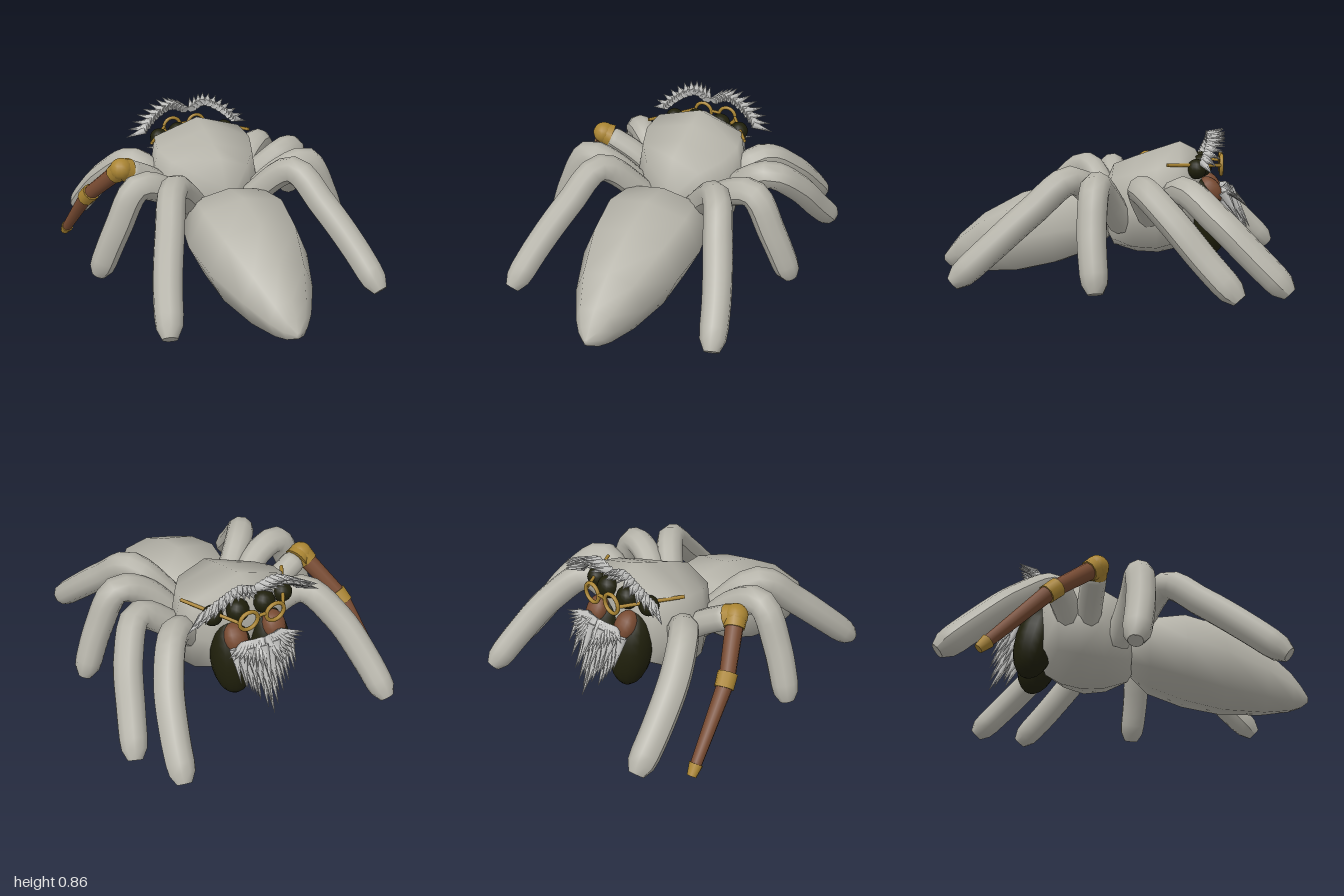
import * as THREE from 'three';

const mat = (name, color, side = THREE.FrontSide) => {
  const m = new THREE.MeshStandardMaterial({ color, side });
  m.name = name;
  return m;
};
const V = (p) => new THREE.Vector3(...p);
const UP = new THREE.Vector3(0, 1, 0);

export function createModel() {
  const root = new THREE.Group();
  root.name = 'spider';
  const skin = mat('greySkin', 0xb5b3a9, THREE.DoubleSide);
  const hair = mat('paleHair', 0xc2c2c0);
  const dark = mat('darkShell', 0x1f1f0b);
  const brown = mat('brownWood', 0x774a31);
  const gold = mat('gold', 0xa98432);

  const add = (name, geo, material, parent = root) => {
    const m = new THREE.Mesh(geo, material);
    m.name = name;
    parent.add(m);
    return m;
  };
  // Tapered cylinder between two points
  const rod = (name, a, b, ra, rb, material, parent, sides = 10) => {
    const p = V(a), q = V(b), d = q.clone().sub(p);
    const m = add(name, new THREE.CylinderGeometry(rb, ra, d.length(), sides), material, parent);
    m.position.copy(p).add(q).multiplyScalar(0.5);
    m.quaternion.setFromUnitVectors(UP, d.normalize());
    return m;
  };
  const ball = (name, c, r, material, parent, seg = 14) => {
    const m = add(name, new THREE.SphereGeometry(1, seg, Math.ceil(seg * 0.7)), material, parent);
    m.position.set(...c);
    m.scale.set(...r);
    return m;
  };

  // Eight-sided body lofted along z; sections are [z, top, bottom, half width]
  const loft = (sections, cx, kx, ky) => {
    const unit = [[1, 0], [kx, ky], [0, 1], [-kx, ky], [-1, 0], [-kx, -ky], [0, -1], [kx, -ky]];
    const pos = [], idx = [], n = 8, last = sections.length - 1;
    for (const [z, t, b, w] of sections)
      for (const [ux, uy] of unit) pos.push(cx + ux * w, (t + b) / 2 + uy * (t - b) / 2, z);
    for (let i = 0; i < last; i++)
      for (let j = 0; j < n; j++) {
        const k = (j + 1) % n, a = i * n + j, b = i * n + k;
        idx.push(a, b, b + n, a, b + n, a + n);
      }
    for (const i of [0, last]) {
      const [z, t, b] = sections[i], c = pos.length / 3;
      pos.push(cx, (t + b) / 2, z);
      for (let j = 0; j < n; j++) {
        const p = i * n + j, q = i * n + (j + 1) % n;
        idx.push(c, ...(i ? [p, q] : [q, p]));
      }
    }
    const g = new THREE.BufferGeometry();
    g.setAttribute('position', new THREE.Float32BufferAttribute(pos, 3));
    g.setIndex(idx);
    g.computeVertexNormals();
    return g;
  };
  add('abdomen', loft([
    [0, 0.43, 0.23, 0.15], [0.1, 0.52, 0.15, 0.29], [0.3, 0.54, 0.07, 0.325], [0.52, 0.48, 0.015, 0.29],
    [0.75, 0.355, 0, 0.205], [0.9, 0.225, 0.012, 0.12], [0.96, 0.15, 0.03, 0.07], [1, 0.095, 0.06, 0.015],
  ], -0.015, 0.72, 0.8), skin);
  add('headAndThorax', loft([
    [0.05, 0.5, 0.32, 0.07], [-0.02, 0.655, 0.18, 0.19], [-0.15, 0.705, 0.14, 0.29], [-0.28, 0.75, 0.135, 0.335],
    [-0.4, 0.79, 0.165, 0.31], [-0.49, 0.745, 0.22, 0.235], [-0.535, 0.65, 0.34, 0.12],
  ], -0.015, 0.88, 0.72), skin);

  // Bent tube leg, thickest at the knee, with a blunt rounded foot
  const leg = (name, pts, r = 0.074, bulge = 0.1) => {
    const n = 20, sides = 10, curve = new THREE.CatmullRomCurve3(pts.map(V));
    const g = new THREE.TubeGeometry(curve, n, r, sides);
    const p = g.attributes.position, v = new THREE.Vector3();
    for (let i = 0; i < p.count; i++) {
      const ring = Math.floor(i / (sides + 1));
      const c = curve.getPointAt(ring / n);
      v.fromBufferAttribute(p, i).sub(c).multiplyScalar(1 + bulge * Math.sin(Math.PI * ring / n));
      if (ring === n) v.multiplyScalar(0.55);
      if (ring === n - 1) v.multiplyScalar(0.93);
      v.add(c);
      p.setXYZ(i, v.x, v.y, v.z);
    }
    g.computeVertexNormals();
    add(name, g, skin);
    // Flat sole closing the tube
    const cap = add(name + 'Tip', new THREE.CircleGeometry(r * 0.55, sides), skin);
    cap.position.copy(curve.getPointAt(1));
    cap.quaternion.setFromUnitVectors(new THREE.Vector3(0, 0, 1), curve.getTangentAt(1));
  };
  const legs = {
    frontLeg: [[0.22, 0.4, -0.32], [0.4, 0.56, -0.42], [0.53, 0.43, -0.6], [0.6, 0.25, -0.79], [0.64, 0.075, -0.97]],
    secondLeg: [[0.22, 0.38, -0.25], [0.5, 0.575, -0.215], [0.63, 0.45, -0.36], [0.71, 0.25, -0.54], [0.775, 0.075, -0.71]],
    thirdLeg: [[0.18, 0.34, -0.08], [0.37, 0.54, 0.01], [0.52, 0.585, 0.035], [0.645, 0.37, 0.04], [0.765, 0.08, 0.01]],
    rearLeg: [[0.15, 0.38, 0], [0.36, 0.605, 0.18], [0.46, 0.45, 0.38], [0.55, 0.26, 0.59], [0.61, 0.08, 0.785]],
  };
  for (const [name, pts] of Object.entries(legs))
    for (const s of [1, -1]) {
      const shift = name === 'secondLeg' ? 0 : -0.014;
      const side = pts.map(([x, y, z]) => [x * s + shift, y, z]);
      if (name === 'secondLeg' && s < 0) leg('legStump', [side[0], [-0.36, 0.5, -0.23], [-0.53, 0.6, -0.2]], 0.067, 0.05);
      else leg(name + (s > 0 ? 'Left' : 'Right'), side);
    }

  // Wooden replacement leg with gold joints
  const peg = new THREE.Group();
  peg.name = 'woodenLeg';
  root.add(peg);
  const knee = [-0.56, 0.615, -0.19], mid = [-0.715, 0.39, -0.41], foot = [-0.805, 0.02, -0.74];
  const between = (a, b, t) => a.map((v, i) => v + (b[i] - v) * t);
  ball('kneeCap', knee, [0.066, 0.064, 0.066], gold, peg);
  rod('stumpCollar', [-0.52, 0.595, -0.205], knee, 0.071, 0.062, gold, peg, 14);
  rod('kneeCollar', knee, between(knee, mid, 0.2), 0.064, 0.056, gold, peg);
  rod('upperShaft', knee, mid, 0.05, 0.042, brown, peg);
  rod('middleJoint', between(knee, mid, 0.88), between(mid, foot, 0.08), 0.053, 0.051, gold, peg);
  rod('lowerShaft', mid, between(mid, foot, 0.9), 0.044, 0.03, brown, peg);
  rod('footTip', between(mid, foot, 0.87), foot, 0.037, 0.025, gold, peg);

  // Face
  const face = new THREE.Group();
  face.name = 'face';
  face.position.x = -0.012;
  root.add(face);
  const spike = (name, a, b, r) => rod(name, a, b, r, 0.001, hair, face, 6);
  for (const s of [1, -1]) {
    ball('innerEye', [s * 0.08, 0.66, -0.525], [0.064, 0.064, 0.06], dark, face);
    ball('outerEye', [s * 0.215, 0.655, -0.495], [0.056, 0.056, 0.055], dark, face);
    // Dark jaws with brown upper segments
    ball('jaw', [s * 0.117, 0.375, -0.54], [0.118, 0.225, 0.12], dark, face, 16).rotation.x = 0.22;
    ball('jawTop', [s * 0.118, 0.525, -0.575], [0.066, 0.085, 0.06], brown, face).rotation.x = 0.6;

    // Spectacles
    const rim = add('spectacleRim', new THREE.TorusGeometry(0.054, 0.011, 8, 20), gold, face);
    rim.position.set(s * 0.08, 0.665, -0.635);
    rod('spectacleArm', [s * 0.135, 0.668, -0.63], [s * 0.315, 0.687, -0.335], 0.01, 0.01, gold, face, 6);

    // Bushy eyebrow: two rows of thick spikes leaning outward
    const base = new THREE.CatmullRomCurve3([[0.02, 0.79, -0.55], [0.1, 0.82, -0.56], [0.2, 0.775, -0.555], [0.29, 0.7, -0.53]].map(V));
    const tips = new THREE.CatmullRomCurve3([[0.045, 0.83, -0.65], [0.14, 0.855, -0.65], [0.28, 0.79, -0.64], [0.4, 0.685, -0.57]].map(V));
    for (let row = 0; row < 2; row++)
      for (let i = 0; i < 10; i++) {
        const t = (i + row * 0.5) / 9.5;
        const a = base.getPoint(t), b = tips.getPoint(t);
        b.y -= row * 0.03;
        a.x *= s;
        b.x *= s;
        spike('eyebrowHair', a.toArray(), b.toArray(), 0.025);
      }

    // Moustache sweeping down and sideways
    for (let i = 0; i < 9; i++) {
      const t = i / 8;
      spike('moustacheHair', [s * (0.015 + 0.1 * t), 0.54 - 0.02 * t, -0.655 + 0.01 * t],
        [s * (0.05 + 0.18 * t), 0.42 + 0.1 * t, -0.79 + 0.09 * t], 0.025);
    }
  }
  rod('spectacleBridge', [-0.03, 0.675, -0.635], [0.03, 0.675, -0.635], 0.01, 0.01, gold, face, 6);

  // Beard: overlapping rows of long spikes narrowing to a point
  for (let row = 0; row < 5; row++) {
    const n = 10 - row * 2 + (row === 4 ? 1 : 0), w = 0.17 - row * 0.034;
    for (let i = 0; i < n; i++) {
      const u = (i / (n - 1)) * 2 - 1, y = 0.5 - row * 0.045 + 0.02 * (i % 2);
      const out = 0.045 * (1 - u * u);
      spike('beardHair', [u * w, y, -0.645 - out], [u * w * 1.05, y - 0.22 + 0.06 * u * u, -0.72 - out * 1.5 - (i % 2) * 0.02], 0.027);
    }
  }
  return root;
}
